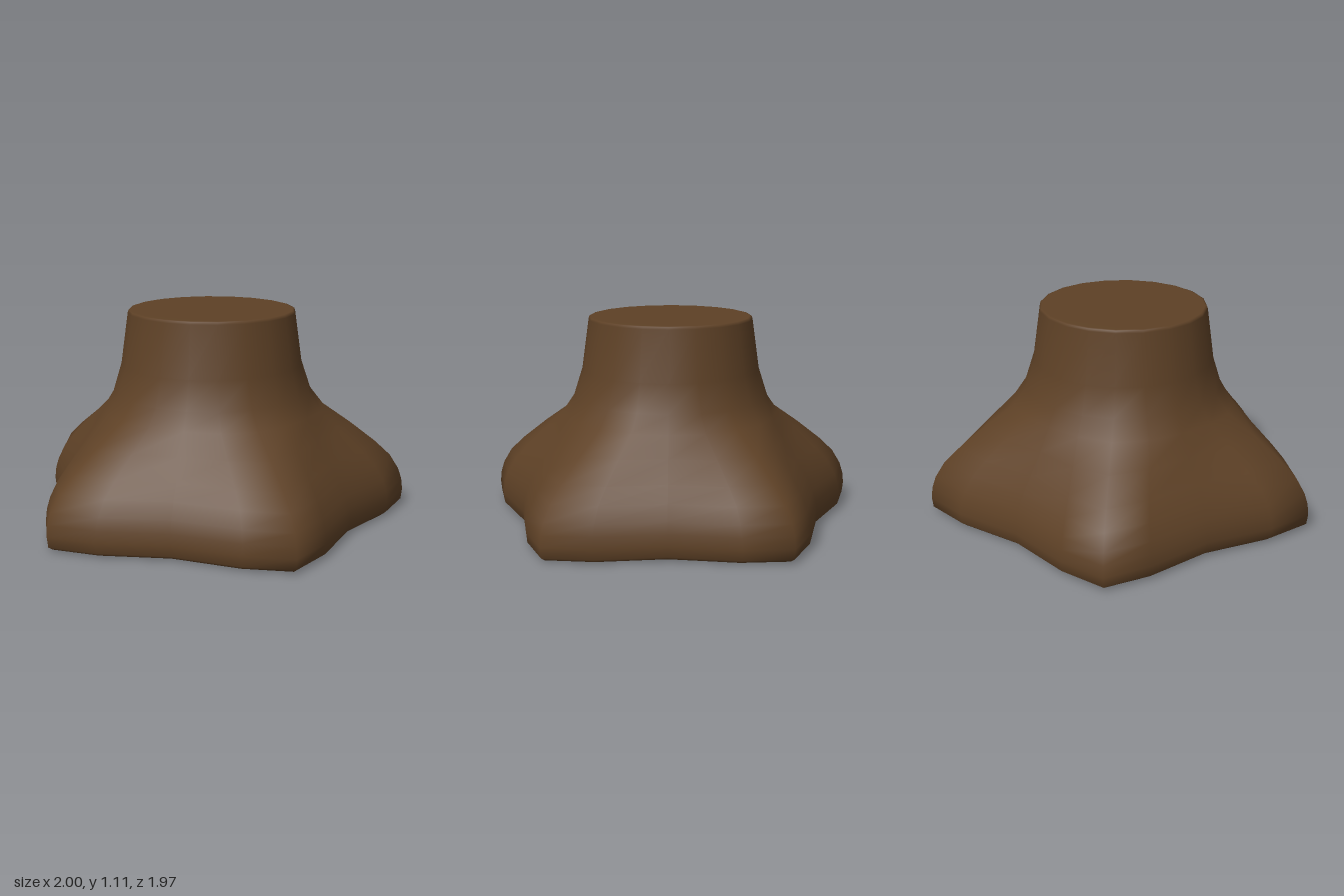
import * as THREE from 'three';

// Cross-sections from the ground up: [height, radius at root tip, radius between roots]
const RINGS = [
  [0, 0.99, 0.77], [0.008, 1.025, 0.805], [0.025, 1.05, 0.825], [0.08, 1.057, 0.83],
  [0.14, 1.05, 0.822], [0.2, 1.03, 0.803], [0.28, 0.98, 0.765], [0.36, 0.895, 0.71],
  [0.47, 0.755, 0.635], [0.58, 0.6, 0.575], [0.67, 0.53, 0.525], [0.82, 0.48, 0.48],
  [1.09, 0.442, 0.442], [1.102, 0.438, 0.438], [1.105, 0.428, 0.428],
];
const ROOTS = 5, SIDES = ROOTS * 4;
const CENTRE_X = -0.04, CENTRE_Z = 0.07, TURN = -83.6;

function stumpGeometry() {
  const pos = [], index = [];
  for (const [y, tip, valley] of RINGS) {
    const flare = Math.min(1, (tip - valley) / 0.22);
    for (let i = 0; i < SIDES; i++) {
      const k = i % 4; // 0 root tip, 1 and 3 flanks, 2 valley
      const weight = [1, 0.53, 0, 0.53][k];
      // flanks lean toward the root tip where the roots flare
      const lean = [0, -4.6, 0, 4.6][k] * flare;
      const a = THREE.MathUtils.degToRad(TURN + i * 360 / SIDES + lean);
      const r = valley + (tip - valley) * weight;
      pos.push(CENTRE_X + r * Math.cos(a), y, CENTRE_Z + r * Math.sin(a));
    }
  }
  const top = (RINGS.length - 1) * SIDES;
  const bottomCentre = RINGS.length * SIDES, topCentre = bottomCentre + 1;
  pos.push(CENTRE_X, 0, CENTRE_Z, CENTRE_X, 1.105, CENTRE_Z);
  for (let i = 0; i < SIDES; i++) {
    const j = (i + 1) % SIDES;
    for (let row = 0; row < top; row += SIDES) {
      const a = row + i, b = row + j, c = a + SIDES, d = b + SIDES;
      index.push(a, c, b, b, c, d);
    }
    index.push(bottomCentre, i, j, topCentre, top + j, top + i);
  }
  const geometry = new THREE.BufferGeometry();
  geometry.setAttribute('position', new THREE.Float32BufferAttribute(pos, 3));
  geometry.setIndex(index);
  geometry.computeVertexNormals();
  return geometry;
}

export function createModel() {
  const group = new THREE.Group();
  group.name = 'treeStump';
  const bark = new THREE.MeshStandardMaterial({ color: 0x5e4126 });
  bark.name = 'bark brown';
  // Trunk and flared roots form one smooth surface
  const stump = new THREE.Mesh(stumpGeometry(), bark);
  stump.name = 'stump';
  group.add(stump);
  return group;
}
